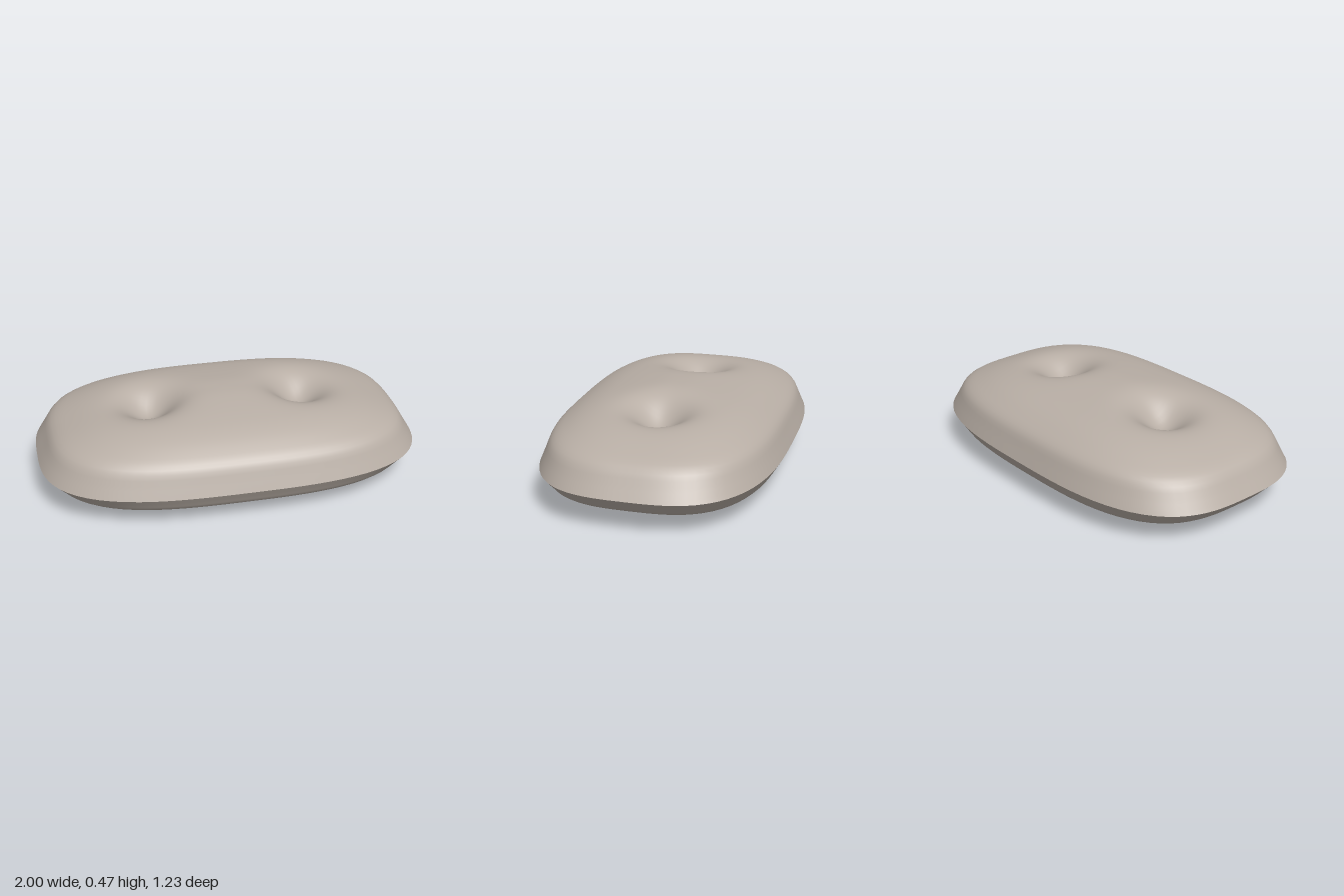
import * as THREE from 'three';

const SEAM_Y = 0.18, HALF_X = 1, HALF_Z = 0.613;
const SEGMENTS = 96, RINGS = 40;

// Puff height from the centre (t = 0) out to the seam (t = 1)
const profile = new THREE.CatmullRomCurve3([
  [0, 0.288], [0.12, 0.286], [0.25, 0.278], [0.45, 0.26], [0.6, 0.24], [0.72, 0.213],
  [0.82, 0.18], [0.88, 0.155], [0.92, 0.128], [0.96, 0.065], [1, 0],
].map(([t, h]) => new THREE.Vector3(t, h, 0)));

// Tufted dimple on each side
function dimple(x, z) {
  return Math.exp(-((Math.abs(x) - 0.4) ** 2 + z * z) / (2 * 0.1 ** 2));
}

// One half of the pillow: rings of a rounded rectangle, lifted by the profile
function shell(puff, depth) {
  const positions = [], indices = [];
  const add = (x, z, h) => positions.push(x, SEAM_Y + h * puff - depth * dimple(x, z), z);
  add(0, 0, 0.288);
  for (let r = 1; r <= RINGS; r++) {
    const p = profile.getPointAt(r / RINGS);
    for (let s = 0; s < SEGMENTS; s++) {
      const a = (s / SEGMENTS) * Math.PI * 2;
      const c = Math.cos(a), n = Math.sin(a);
      const k = p.x / Math.cbrt(Math.abs(c) ** 3 + Math.abs(n) ** 3);
      add(c * k * HALF_X, n * k * HALF_Z, p.y);
    }
  }
  // Keep the faces outward on the upper and the lower half
  const tri = (a, b, c) => (puff > 0 ? indices.push(a, b, c) : indices.push(a, c, b));
  for (let s = 0; s < SEGMENTS; s++) {
    const next = (s + 1) % SEGMENTS;
    tri(0, 1 + next, 1 + s);
    for (let r = 0; r < RINGS - 1; r++) {
      const i = 1 + r * SEGMENTS, o = i + SEGMENTS;
      tri(i + s, i + next, o + s);
      tri(i + next, o + next, o + s);
    }
  }
  const geometry = new THREE.BufferGeometry();
  geometry.setAttribute('position', new THREE.Float32BufferAttribute(positions, 3));
  geometry.setIndex(indices);
  geometry.computeVertexNormals();
  return geometry;
}

export function createModel() {
  const group = new THREE.Group();
  group.name = 'tuftedPillow';
  const fabric = new THREE.MeshStandardMaterial({ color: 0xb8aea5 });
  fabric.name = 'warm grey fabric';

  // Upper and lower halves meet in a sharp seam
  const top = new THREE.Mesh(shell(1, 0.13), fabric);
  top.name = 'upperCushion';
  const bottom = new THREE.Mesh(shell(-0.625, -0.08), fabric);
  bottom.name = 'lowerCushion';
  group.add(top, bottom);
  return group;
}
